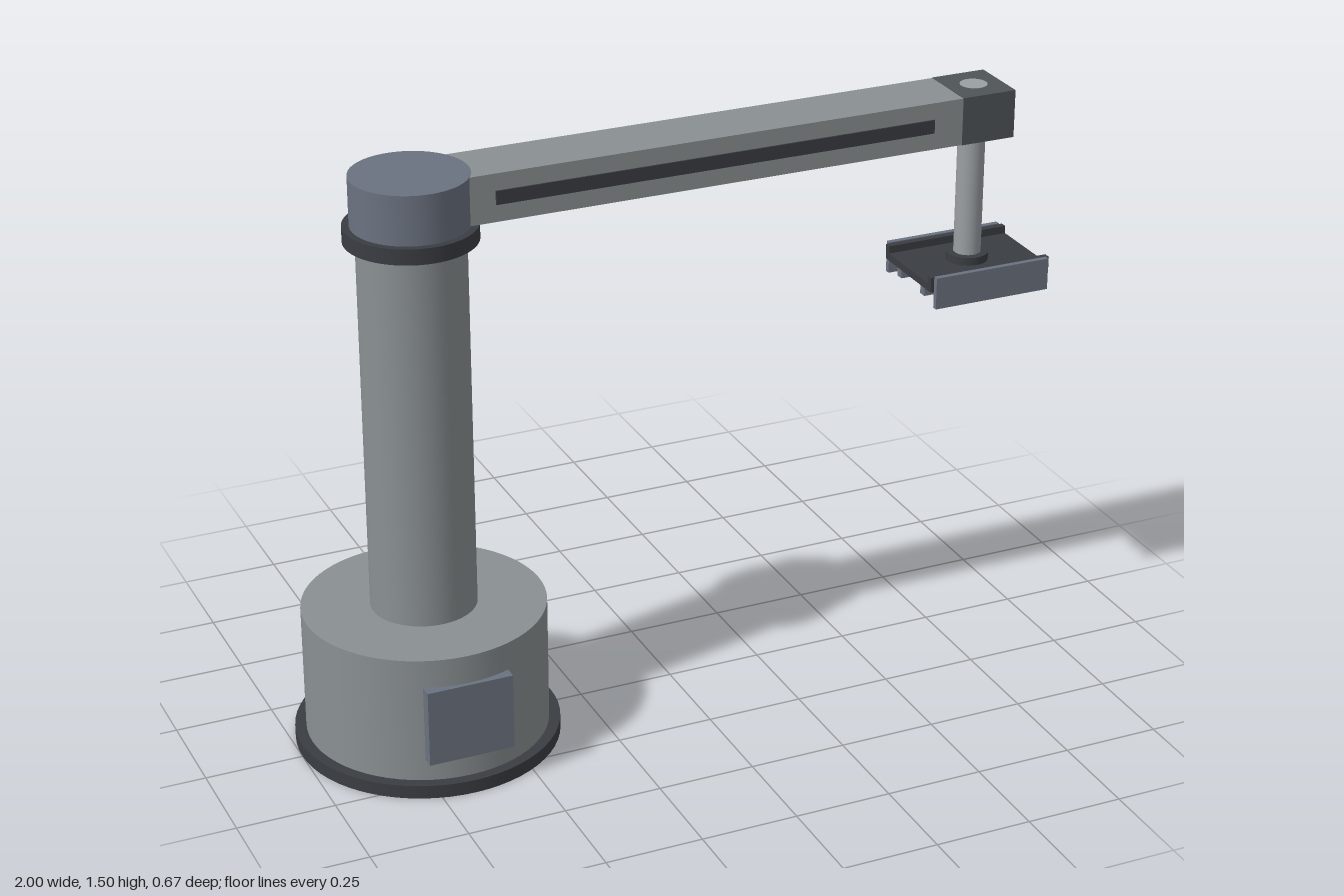
import * as THREE from 'three';

export function createModel() {
  const model = new THREE.Group();
  model.name = 'columnRobotArm';

  const paint = (color) => new THREE.MeshStandardMaterial({ color });
  const body = paint(0x8a9092);
  const dark = paint(0x3a3d42);
  const accent = paint(0x6b7280);
  const tipGrey = paint(0x4f5458);
  const steel = paint(0x9a9fa2);

  const add = (parent, name, geometry, material, x, y, z) => {
    const mesh = new THREE.Mesh(geometry, material);
    mesh.name = name;
    mesh.position.set(x, y, z);
    parent.add(mesh);
    return mesh;
  };
  // Upright cylinder between two heights
  const cyl = (parent, name, material, r, y0, y1, x, segments = 64) =>
    add(parent, name, new THREE.CylinderGeometry(r, r, y1 - y0, segments), material, x, (y0 + y1) / 2, 0);
  // Box given by its extents on each axis
  const box = (parent, name, material, [x0, x1], [y0, y1], [z0, z1]) =>
    add(parent, name, new THREE.BoxGeometry(x1 - x0, y1 - y0, z1 - z0), material,
      (x0 + x1) / 2, (y0 + y1) / 2, (z0 + z1) / 2);

  const columnX = -0.667;
  const rodX = 0.83;

  // Base with its service panel
  const base = new THREE.Group();
  base.name = 'base';
  model.add(base);
  cyl(base, 'baseFlange', dark, 0.333, 0, 0.035, columnX);
  cyl(base, 'baseDrum', body, 0.305, 0.035, 0.367, columnX);
  box(base, 'servicePanel', accent, [columnX - 0.11, columnX + 0.11], [0.093, 0.293], [0.284, 0.316]);

  // Column, collar and shoulder head
  cyl(model, 'column', body, 0.133, 0.367, 1.335, columnX);
  cyl(model, 'collar', dark, 0.163, 1.335, 1.375, columnX);
  cyl(model, 'shoulderHead', accent, 0.145, 1.375, 1.5, columnX);

  // Horizontal arm, starting inside the head
  const arm = new THREE.Group();
  arm.name = 'arm';
  model.add(arm);
  box(arm, 'armBeam', body, [columnX + 0.08, 0.76], [1.377, 1.499], [-0.082, 0.082]);
  box(arm, 'armSlotStrip', dark, [-0.483, 0.677], [1.421, 1.456], [0.07, 0.086]);
  box(arm, 'armTipBlock', tipGrey, [0.757, 0.903], [1.376, 1.5], [-0.083, 0.083]);

  // Vertical rod passing through the tip block
  cyl(model, 'liftRod', steel, 0.035, 1.03, 1.501, rodX, 32);

  // Gripper plate with rails along x
  const gripper = new THREE.Group();
  gripper.name = 'gripper';
  model.add(gripper);
  cyl(gripper, 'rodFlange', dark, 0.054, 1.029, 1.051, rodX, 32);
  box(gripper, 'gripperPlate', dark, [0.662, 1], [1.01, 1.03], [-0.122, 0.122]);
  for (const side of [1, -1]) {
    const rail = (name, material, xs, ys, near, far) =>
      box(gripper, name, material, xs, ys, side > 0 ? [near, far] : [-far, -near]);
    rail('sideRail', accent, [0.671, 0.991], [0.968, 1.052], 0.122, 0.136);
    rail('plateLip', dark, [0.662, 1], [1.029, 1.05], 0.104, 0.122);
    rail('gripPad', accent, [0.671, 0.991], [0.98, 1.011], 0.051, 0.073);
  }

  return model;
}
